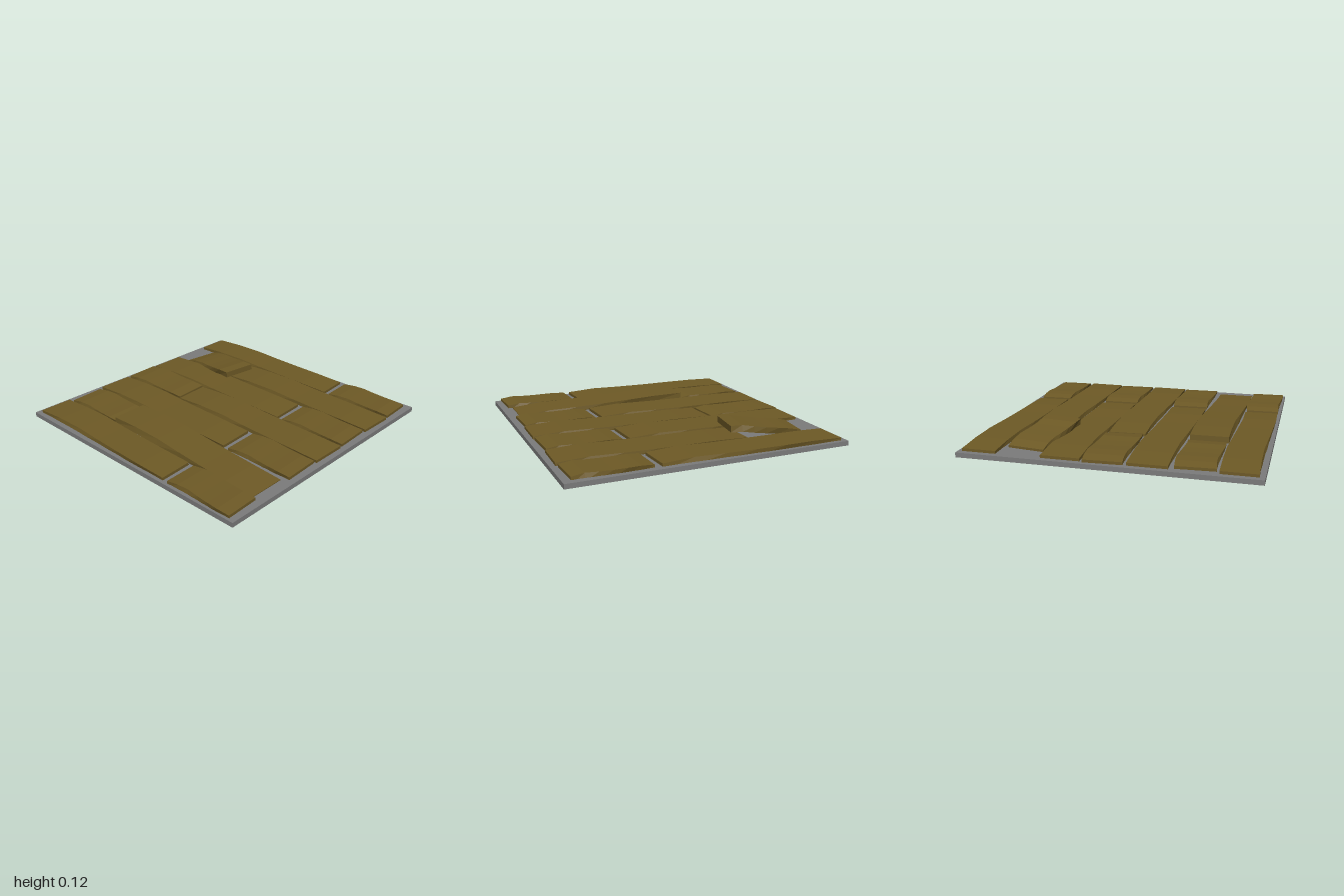
import * as THREE from 'three';

const wood = new THREE.MeshStandardMaterial({ color: 0x6e5a26, flatShading: true });
const stone = new THREE.MeshStandardMaterial({ color: 0x7c7c7c, flatShading: true });

const SEGMENTS = 6;
const THICKNESS = 0.045;
// Warp from back end to front end: sideways lean of the top face, and its bow
const LEAN = [0, 0.009, 0.013, 0.004, -0.004, -0.013, -0.005];
const BOW = [0, 0.009, 0.01, 0.007, 0.007, 0.01, 0];

// A plank spanning four [x, z] corners, with top heights at its back and front ends
function plank(name, [bl, br, fr, fl], yBack = 0.059, yFront = 0.06) {
  const geo = new THREE.BoxGeometry(1, 1, 1, 1, 1, SEGMENTS);
  const p = geo.attributes.position;
  const mix = THREE.MathUtils.lerp;
  for (let i = 0; i < p.count; i++) {
    const u = p.getX(i) + 0.5;
    const t = p.getZ(i) + 0.5;
    const top = p.getY(i) > 0;
    const k = Math.round(t * SEGMENTS);
    const x = mix(mix(bl[0], br[0], u), mix(fl[0], fr[0], u), t);
    const z = mix(mix(bl[1], br[1], u), mix(fl[1], fr[1], u), t);
    const y = mix(yBack, yFront, t) + BOW[k];
    p.setXYZ(i, x + (top ? LEAN[k] : 0), top ? y : y - THICKNESS, z);
  }
  geo.computeVertexNormals();
  const mesh = new THREE.Mesh(geo, wood);
  mesh.name = name;
  return mesh;
}

export function createModel() {
  const group = new THREE.Group();
  group.name = 'plankFloor';

  // Slab under the boards
  const slab = new THREE.Mesh(new THREE.BoxGeometry(2, 0.033, 2), stone);
  slab.name = 'baseSlab';
  slab.position.y = 0.0235;
  group.add(slab);

  // Columns with a long board at the back and a short one at the front: [left x, width]
  [[-0.965, 0.24], [-0.41, 0.265], [0.16, 0.265], [0.735, 0.235]].forEach(([x, w], i) => {
    group.add(plank(`longBackPlank${i + 1}`,
      [[x, -0.96], [x + w, -0.96], [x + w - 0.005, 0.365], [x - 0.007, 0.38]]));
    group.add(plank(`shortFrontPlank${i + 1}`,
      [[x - 0.015, 0.425], [x + w - 0.015, 0.415], [x + w - 0.01, 0.945], [x - 0.013, 0.955]]));
  });

  // Columns with a long board at the front
  group.add(plank('raisedLongPlank',
    [[-0.71, -0.415], [-0.445, -0.42], [-0.46, 0.915], [-0.725, 0.915]], 0.098, 0.045));
  group.add(plank('longFrontPlank1',
    [[-0.12, -0.365], [0.14, -0.378], [0.125, 0.96], [-0.142, 0.957]]));
  group.add(plank('longFrontPlank2',
    [[0.45, -0.365], [0.712, -0.378], [0.695, 0.963], [0.43, 0.957]]));

  // Short crooked boards at the back
  group.add(plank('shortBackPlank1',
    [[-0.705, -0.928], [-0.445, -0.942], [-0.428, -0.42], [-0.69, -0.413]]));
  group.add(plank('shortBackPlank2',
    [[-0.122, -0.96], [0.14, -0.972], [0.162, -0.4], [-0.102, -0.382]]));

  // Loose board resting on its neighbour, front end lifted
  group.add(plank('loosePlank',
    [[0.445, -0.852], [0.705, -0.817], [0.632, -0.293], [0.37, -0.33]], 0.056, 0.125));

  return group;
}
